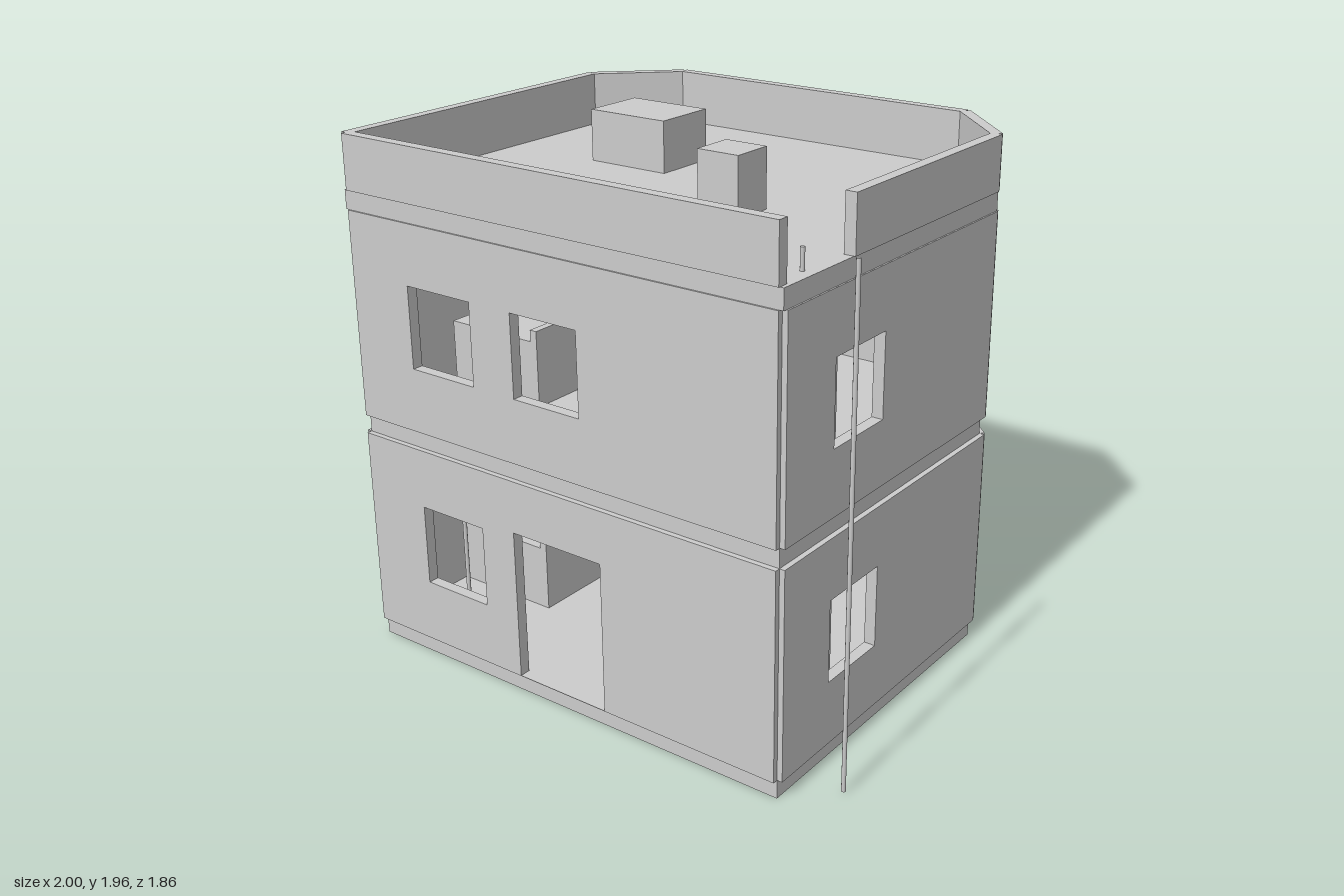
import * as THREE from 'three';

export function createModel() {
  const group = new THREE.Group();
  const plaster = new THREE.MeshStandardMaterial({ color: 0xcccccc });
  plaster.name = 'plaster';
  const T = 0.042; // wall thickness

  const add = (name, geometry) => {
    const mesh = new THREE.Mesh(geometry, plaster);
    mesh.name = name;
    group.add(mesh);
    return mesh;
  };
  // Box given by its low and high corner
  const box = (name, x0, x1, y0, y1, z0, z1) =>
    add(name, new THREE.BoxGeometry(x1 - x0, y1 - y0, z1 - z0))
      .position.set((x0 + x1) / 2, (y0 + y1) / 2, (z0 + z1) / 2);
  const pole = (name, x, z, y0, y1) =>
    add(name, new THREE.CylinderGeometry(0.008, 0.008, y1 - y0, 10)).position.set(x, (y0 + y1) / 2, z);

  // Plan of the house, inset by d, starting at the front left corner
  const plan = (d) => [
    [-1 + d, 0.925 - d], [0.85 - d, 0.925 - d], [0.85 - d, -0.39 + d * 0.414],
    [0.575 - d * 0.414, -0.66 + d], [-0.72 + d * 0.414, -0.66 + d], [-1 + d, -0.39 + d * 0.414],
  ];
  const slab = (name, y0, y1, d) => {
    const shape = new THREE.Shape(plan(d).map(([x, z]) => new THREE.Vector2(x, -z)));
    const g = new THREE.ExtrudeGeometry(shape, { depth: y1 - y0, bevelEnabled: false });
    g.rotateX(-Math.PI / 2).translate(0, y0, 0);
    add(name, g);
  };

  // Wall panel along plan side i; openings are [u0, u1, y0, y1], u measured along the side
  const rect = (C, u0, u1, y0, y1) => new C([
    new THREE.Vector2(u0, y0), new THREE.Vector2(u1, y0),
    new THREE.Vector2(u1, y1), new THREE.Vector2(u0, y1),
  ]);
  const corners = plan(0);
  const trims = [0.02, 0.02, 0.008, 0.008, 0.008, 0.008]; // open joint at each corner
  const panel = (name, i, y0, y1, openings = [], start = trims[i]) => {
    const [x, z] = corners[i], [x2, z2] = corners[(i + 1) % 6];
    const length = Math.hypot(x2 - x, z2 - z);
    const shape = rect(THREE.Shape, start, length - trims[(i + 1) % 6], y0, y1);
    openings.forEach((o) => shape.holes.push(rect(THREE.Path, ...o)));
    const g = new THREE.ExtrudeGeometry(shape, { depth: T, bevelEnabled: false });
    g.translate(0, 0, -T);
    const mesh = add(name, g);
    mesh.position.set(x, 0, z);
    mesh.rotation.y = Math.atan2(-(z2 - z), x2 - x);
  };
  const sides = ['front', 'right', 'backRightChamfer', 'back', 'backLeftChamfer', 'left'];

  // Slabs
  slab('baseSlab', 0, 0.07, 0.02);
  slab('middleSlab', 0.84, 0.91, 0.02);
  slab('roofSlab', 1.68, 1.75, 0.006);

  // Two storeys of walls and their furniture
  [0.07, 0.91].forEach((y, floor) => {
    const w0 = y + 0.24, w1 = y + 0.545;
    const door = [y + 0.002, y + 0.572];
    const openings = [
      [[0.29, 0.58, w0, w1], floor ? [0.765, 1.05, w0, w1] : [0.73, 1.12, ...door]],
      [[0.285, 0.575, w0, w1]],
      [],
      [floor ? [0.275, 0.56, w0, w1] : [0.455, 0.845, ...door]],
      [],
      [[0.265, 0.565, w0, w1]],
    ];
    sides.forEach((side, i) => panel(side + 'Wall', i, y, y + 0.77, openings[i]));

    box('partition', 0.04, 0.07, y, y + 0.77, -0.62, 0.2);
    box('cornerCupboard', -0.94, -0.76, y, y + 0.475, -0.59, -0.4);
    box('bed', -0.94, -0.55, y, y + 0.25, 0.08, 0.5);
    box('bedEnd', -0.55, -0.52, y, y + 0.295, 0.08, 0.5);
    box('shelfSide', 0.5, 0.76, y, y + 0.51, 0.49, 0.505);
    for (const h of [0.16, 0.33, 0.485]) box('shelf', 0.5, 0.76, y + h, y + h + 0.015, 0.505, 0.8);
  });

  // Parapet, open beside the ladder pole
  sides.forEach((side, i) => panel(side + 'Parapet', i, 1.75, 1.95, [], i === 1 ? 0.38 : trims[i]));

  // Roof boxes
  box('waterTank', -0.57, -0.235, 1.75, 1.94, -0.15, 0.1);
  box('chimney', 0.165, 0.33, 1.75, 1.963, 0.27, 0.43);

  // Canopy over the back door
  box('canopy', -0.43, 0.28, 0.705, 0.737, -0.93, -0.65);

  // Poles
  pole('outerPole', 0.99, 0.755, 0.01, 1.825);
  pole('roofPole', 0.797, 0.755, 1.75, 1.825);
  pole('roomPole', -0.7, 0.74, 0.07, 0.84);

  return group;
}
